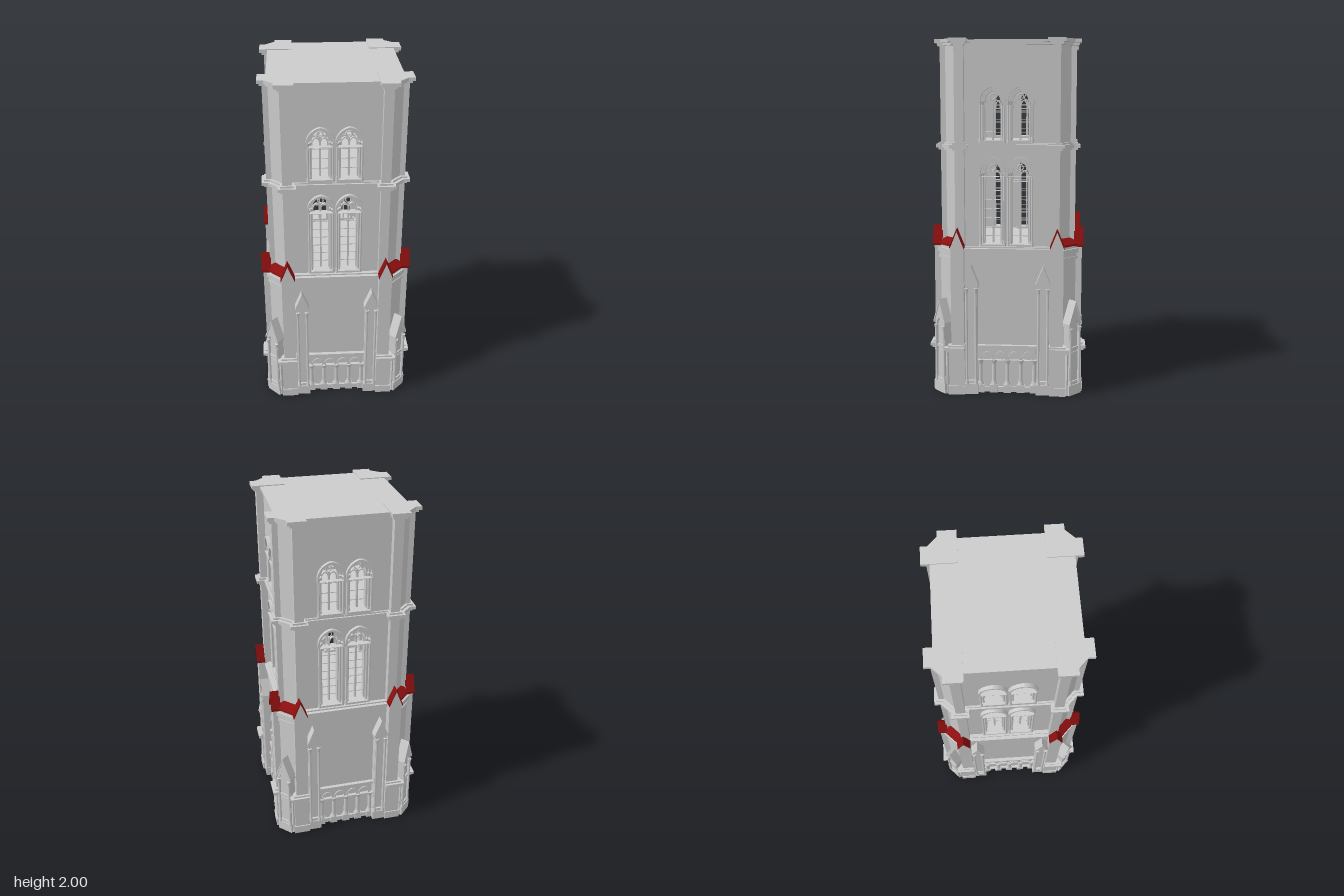
import * as THREE from 'three';

const stone = new THREE.MeshStandardMaterial({ color: 0xcccccc });
const tile = new THREE.MeshStandardMaterial({ color: 0x8b0f0f });

function add(parent, name, geo, mat = stone) {
  const m = new THREE.Mesh(geo, mat);
  m.name = name;
  parent.add(m);
  return m;
}
const group = (parent, name) => {
  const g = new THREE.Group();
  g.name = name;
  parent.add(g);
  return g;
};
// Box given by its limits
const box = (x0, x1, y0, y1, z0, z1) =>
  new THREE.BoxGeometry(x1 - x0, y1 - y0, z1 - z0).translate((x0 + x1) / 2, (y0 + y1) / 2, (z0 + z1) / 2);
const shaft = (r, x, y0, y1, z, r2 = r) =>
  new THREE.CylinderGeometry(r2, r, y1 - y0, 10).translate(x, (y0 + y1) / 2, z);
const poly = pts => new THREE.Shape(pts.map(p => new THREE.Vector2(p[0], p[1])));
// Upright shape pushed from z0 to z1
const slab = (shape, z0, z1) =>
  new THREE.ExtrudeGeometry(shape, { depth: z1 - z0, bevelEnabled: false, curveSegments: 8 }).translate(0, 0, z0);
// Ground plan (x, z) raised from y0 to y1
const prism = (plan, y0, y1) =>
  new THREE.ExtrudeGeometry(poly(plan.map(([x, z]) => [x, -z])), { depth: y1 - y0, bevelEnabled: false })
    .rotateX(-Math.PI / 2).translate(0, y0, 0);

// Square plan of half-size r whose corners are cut along x + z = s
const corePlan = (r, s) => {
  const c = s - r;
  return [[r, c], [c, r], [-c, r], [-r, c], [-r, -c], [-c, -r], [c, -r], [r, -c]];
};
// Corner pier plan: two arms reaching r, from a to b, joined by a chamfer at c
const pierPlan = (a, b, r, c) => [[a, a], [a, r], [b, r], [b, c], [c, b], [r, b], [r, a]];

// Pointed arch outline of half-width w, from y0 up to springing s
function arch(cx, w, y0, s, e = 0.016, type = THREE.Shape) {
  const p = new type(), r = w + e, t = Math.acos(e / r);
  p.moveTo(cx - w, y0);
  p.lineTo(cx + w, y0);
  p.lineTo(cx + w, s);
  p.absarc(cx - e, s, r, 0, t, false);
  p.absarc(cx + e, s, r, Math.PI - t, Math.PI, false);
  p.closePath();
  return p;
}
function archFrame(cx, wOut, wIn, y0, s, e) {
  const f = arch(cx, wOut, y0, s, e);
  f.holes.push(arch(cx, wIn, y0 + 0.002, s, e, THREE.Path));
  return f;
}
// Inverted V that covers a gable
const chevron = (cx, w, eave, peak, t) =>
  poly([[cx - w, eave], [cx, peak], [cx + w, eave], [cx + w, eave - t], [cx, peak - t], [cx - w, eave - t]]);

// Traceried window with stepped jambs
function addWindow(parent, cx, y0, s) {
  const g = group(parent, 'window');
  add(g, 'hoodMould', slab(archFrame(cx, 0.077, 0.066, s - 0.02, s), 0.33, 0.36));
  add(g, 'outerOrder', slab(archFrame(cx, 0.068, 0.055, y0, s), 0.295, 0.327));
  add(g, 'innerOrder', slab(archFrame(cx, 0.058, 0.044, y0, s), 0.27, 0.31));
  add(g, 'sill', box(cx - 0.07, cx + 0.07, y0 - 0.005, y0 + 0.012, 0.27, 0.35));
  for (const k of [-1, 1]) {
    for (const [x, z] of [[0.067, 0.342], [0.055, 0.325]]) {
      add(g, 'jambShaft', shaft(0.006, cx + k * x, y0, s, z));
      add(g, 'capital', shaft(0.006, cx + k * x, s - 0.022, s, z, 0.011));
      add(g, 'shaftBase', shaft(0.01, cx + k * x, y0, y0 + 0.03, z, 0.007));
    }
    add(g, 'lancetHead', slab(archFrame(cx + k * 0.022, 0.023, 0.017, s - 0.04, s - 0.02, 0.012), 0.28, 0.295));
  }
  add(g, 'mullion', box(cx - 0.005, cx + 0.005, y0, s + 0.012, 0.278, 0.297));
  add(g, 'traceryRing', new THREE.TorusGeometry(0.016, 0.0035, 6, 16).translate(cx, s + 0.028, 0.288));
  const bars = Math.round((s - y0) / 0.05);
  for (let i = 1; i < bars; i++) {
    const y = y0 + (s - y0) * i / bars;
    add(g, 'glazingBar', box(cx - 0.045, cx + 0.045, y - 0.002, y + 0.002, 0.285, 0.291));
  }
}

// Small gabled buttress with an arched niche, its face looking to +z
function addPinnacle(parent, cx, w, zBack, zFront, eave, peak) {
  const g = group(parent, 'gabledButtress'), h = w / 2, s = eave - 0.035;
  add(g, 'body', box(cx - h, cx + h, 0, eave, zBack, zFront - 0.012));
  const face = poly([[cx - h, 0], [cx + h, 0], [cx + h, eave], [cx, peak - 0.01], [cx - h, eave]]);
  face.holes.push(arch(cx, h - 0.013, 0.08, s, 0.012, THREE.Path));
  add(g, 'nicheFace', slab(face, zFront - 0.012, zFront));
  add(g, 'gable', slab(poly([[cx - h, eave], [cx + h, eave], [cx, peak - 0.01]]), zBack, zFront - 0.012));
  add(g, 'coping', slab(chevron(cx, h + 0.008, eave - 0.01, peak, 0.018), zBack, zFront + 0.006));
  add(g, 'plinth', box(cx - h - 0.005, cx + h + 0.005, 0, 0.06, zBack, zFront + 0.005));
  for (const k of [-1, 1]) {
    const x = cx + k * (h - 0.008);
    add(g, 'nicheShaft', shaft(0.007, x, 0.06, s, zFront));
    add(g, 'capital', shaft(0.007, x, s - 0.03, s, zFront, 0.012));
    add(g, 'shaftBase', shaft(0.012, x, 0.06, 0.09, zFront, 0.007));
  }
}

// Blind arcade at the foot of the wall
function addArcade(parent) {
  const g = group(parent, 'arcade'), pitch = 0.077;
  const panel = poly([[-0.16, 0], [0.16, 0], [0.16, 0.265], [-0.16, 0.265]]);
  for (let i = 0; i < 4; i++) panel.holes.push(arch((i - 1.5) * pitch, 0.029, 0.03, 0.2, 0.01, THREE.Path));
  add(g, 'arcadePanel', slab(panel, 0.36, 0.377));
  for (let i = 0; i < 4; i++)
    add(g, 'arcadeMould', slab(archFrame((i - 1.5) * pitch, 0.036, 0.027, 0.19, 0.2, 0.01), 0.365, 0.383));
  for (let i = 0; i < 5; i++) {
    const x = (i - 2) * pitch;
    add(g, 'columnPlinth', box(x - 0.022, x + 0.022, 0, 0.045, 0.36, 0.39));
    add(g, 'columnBase', shaft(0.019, x, 0.045, 0.07, 0.374, 0.012));
    add(g, 'column', shaft(0.011, x, 0.06, 0.19, 0.376));
    add(g, 'columnCapital', shaft(0.011, x, 0.165, 0.195, 0.374, 0.02));
  }
}

function addSide(parent) {
  const g = group(parent, 'side');
  // Belfry wall with two pairs of openings
  const wall = poly([[-0.26, 0.83], [0.26, 0.83], [0.26, 1.98], [-0.26, 1.98]]);
  for (const [y0, s] of [[0.85, 1.265], [1.435, 1.66]])
    for (const cx of [-0.0855, 0.0705]) {
      wall.holes.push(arch(cx, 0.066, y0, s, 0.016, THREE.Path));
      addWindow(g, cx, y0, s);
    }
  add(g, 'belfryWall', slab(wall, 0.295, 0.34));
  addArcade(g);
  for (const k of [-1, 1]) {
    addPinnacle(g, k * 0.203, 0.068, 0.355, 0.413, 0.655, 0.75);
    // Tiled gable on the main buttress
    const x = k * 0.28;
    add(g, 'buttressGable', slab(poly([[x - 0.036, 0.855], [x + 0.036, 0.855], [x, 0.948]]), 0.375, 0.42));
    add(g, 'gableRoof', slab(chevron(x, 0.04, 0.862, 0.962, 0.014), 0.375, 0.43), tile);
  }
}

function addCorner(parent) {
  const g = group(parent, 'corner');
  // Stacked stages: arm start, arm end, reach, chamfer, bottom, top
  const stages = [
    ['pierPlinth', 0.24, 0.335, 0.43, 0.395, 0, 0.05],
    ['pierBase', 0.24, 0.33, 0.424, 0.39, 0.05, 0.26],
    ['baseMould', 0.24, 0.345, 0.436, 0.4, 0.25, 0.262],
    ['baseMould', 0.24, 0.355, 0.446, 0.41, 0.262, 0.28],
    ['baseMould', 0.24, 0.335, 0.432, 0.395, 0.28, 0.29],
    ['pierShaft', 0.243, 0.316, 0.42, 0.385, 0.29, 0.858],
    ['chamferBand', 0.25, 0.314, 0.415, 0.397, 0.78, 0.795],
    ['chamferBand', 0.25, 0.314, 0.415, 0.391, 0.795, 0.815],
    ['chamferBand', 0.25, 0.314, 0.415, 0.402, 0.815, 0.84],
    ['upperPier', 0.24, 0.292, 0.38, 0.35, 0.85, 1.98],
    ['stringMould', 0.23, 0.303, 0.391, 0.36, 1.393, 1.407],
    ['stringMould', 0.22, 0.318, 0.405, 0.37, 1.407, 1.425],
    ['stringMould', 0.23, 0.303, 0.391, 0.36, 1.425, 1.435],
    ['corniceMould', 0.23, 0.305, 0.393, 0.36, 1.965, 1.98],
    ['cornice', 0.22, 0.32, 0.405, 0.37, 1.98, 2],
  ];
  for (const [name, a, b, r, c, y0, y1] of stages) add(g, name, prism(pierPlan(a, b, r, c), y0, y1));

  // Parts facing outward along the diagonal
  const d = group(g, 'diagonal');
  d.rotation.y = Math.PI / 4;
  addPinnacle(d, 0, 0.088, 0.48, 0.545, 0.43, 0.55);
  add(d, 'buttressFoot', box(-0.055, 0.055, 0, 0.25, 0.48, 0.537));
  const lean = slab(poly([[0.44, 0.855], [0.502, 0.855], [0.502, 0.866], [0.44, 0.905]]), -0.056, 0.056);
  add(d, 'chamferRoof', lean.rotateY(-Math.PI / 2), tile);
}

export function createModel() {
  const tower = new THREE.Group();
  tower.name = 'tower';
  // Solid base and the horizontal courses that ring the tower
  const courses = [
    ['lowerBody', 0.365, 0.7, 0, 0.84],
    ['baseCourse', 0.376, 0.7, 0.255, 0.265],
    ['baseCourse', 0.386, 0.7, 0.265, 0.28],
    ['sillCourse', 0.372, 0.7, 0.815, 0.828],
    ['sillCourse', 0.382, 0.7, 0.828, 0.842],
    ['sillCourse', 0.362, 0.64, 0.842, 0.85],
    ['stringCourse', 0.35, 0.64, 1.396, 1.407],
    ['stringCourse', 0.36, 0.64, 1.407, 1.425],
    ['stringCourse', 0.35, 0.64, 1.425, 1.433],
    ['roofMould', 0.35, 0.64, 1.968, 1.98],
    ['roof', 0.36, 0.64, 1.98, 1.995],
  ];
  for (const [name, r, s, y0, y1] of courses) add(tower, name, prism(corePlan(r, s), y0, y1));
  for (let i = 0; i < 4; i++) {
    const quarter = group(tower, 'quarter');
    quarter.rotation.y = i * Math.PI / 2;
    addSide(quarter);
    addCorner(quarter);
  }
  return tower;
}
